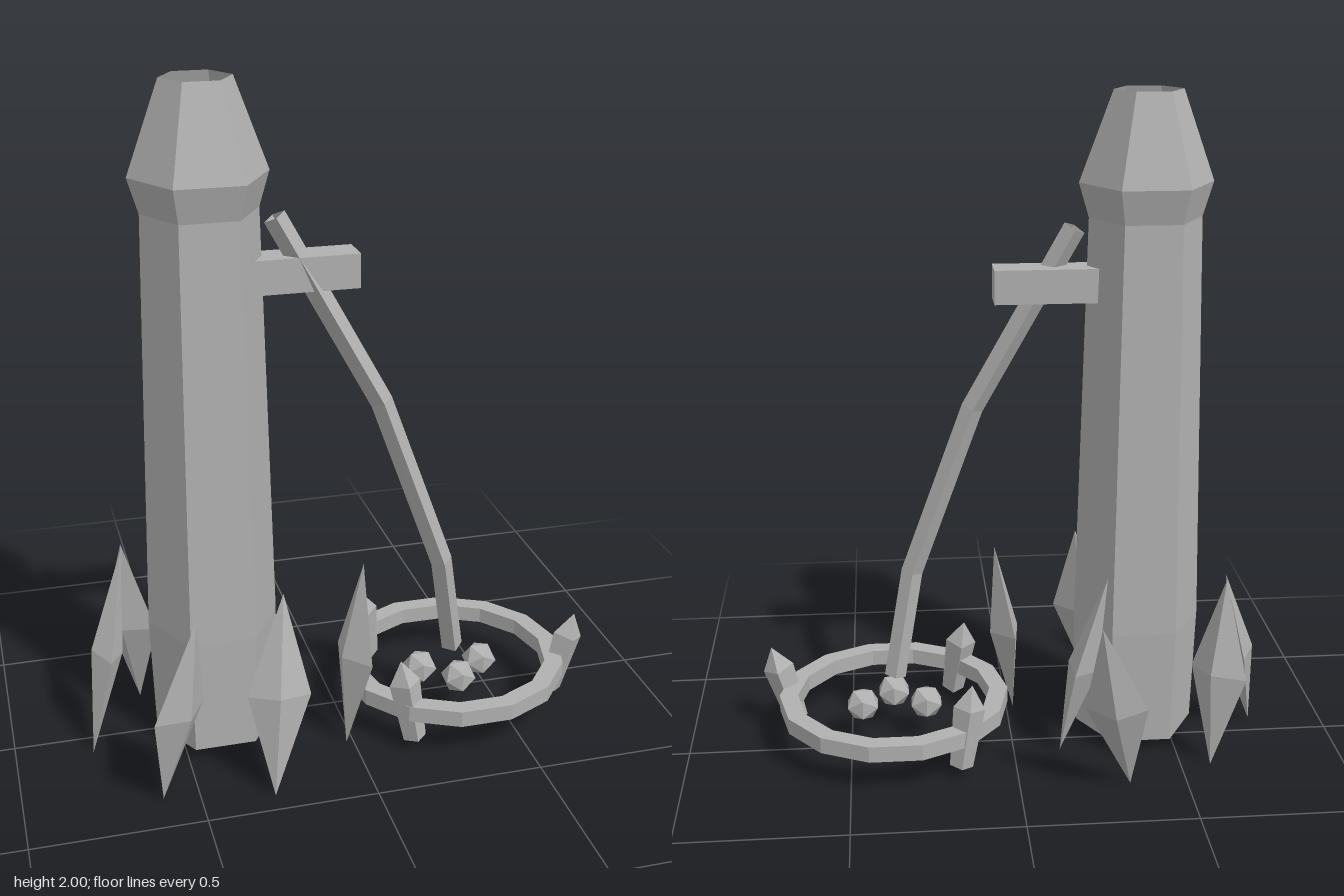
import * as THREE from 'three';

const V = (x, y, z) => new THREE.Vector3(x, y, z);
const UP = V(0, 1, 0);

export function createModel() {
  const model = new THREE.Group();
  const stone = new THREE.MeshStandardMaterial({ color: 0xb0b0b0, flatShading: true, side: THREE.DoubleSide });
  stone.name = 'grey stone';

  const add = (name, geometry, x = 0, y = 0, z = 0) => {
    const mesh = new THREE.Mesh(geometry, stone);
    mesh.name = name;
    mesh.position.set(x, y, z);
    model.add(mesh);
    return mesh;
  };
  const lathe = (profile, sides, start) =>
    new THREE.LatheGeometry(profile.map(([r, y]) => new THREE.Vector2(r, y)), sides, start);

  // Hollow six-sided tower, open at the top
  add('tower', lathe([[0, 0.04], [0.182, 0.04], [0.193, 0.4], [0.165, 1.64], [0.195, 1.74], [0.1, 2]], 6, Math.PI / 6),
    -0.39, 0, 0.05);

  // Beam sticking out of the tower
  add('beam', new THREE.BoxGeometry(0.49, 0.1, 0.1), -0.195, 1.45, 0.05);

  // Bent square cable hanging from the beam
  const bends = [V(-0.185, 1.61, 0.055), V(0.11, 1.06, 0.115), V(0.3, 0.53, 0.13), V(0.36, 0.2, 0.08)];
  const path = new THREE.Curve();
  path.getPointAt = (u) => bends[Math.round(u * 3)].clone();
  path.getTangentAt = (u) => {
    const i = Math.round(u * 3);
    return bends[Math.min(i + 1, 3)].clone().sub(bends[Math.max(i - 1, 0)]).normalize();
  };
  add('cable', new THREE.TubeGeometry(path, 3, 0.033, 4, false));

  // Flat ring near the ground
  add('ring', lathe([[0.298, 0.11], [0.355, 0.11], [0.355, 0.16], [0.298, 0.16], [0.298, 0.11]], 14, Math.PI / 2),
    0.365, 0, 0.05);

  // Pointed, tilted posts holding the ring: foot and tip
  const posts = [
    [V(0.675, 0.037, 0.14), V(0.745, 0.285, 0.135)],
    [V(0.17, 0.037, 0.305), V(0.133, 0.285, 0.27)],
    [V(0.17, 0.037, -0.21), V(0.133, 0.285, -0.175)],
  ];
  for (const [foot, tip] of posts) {
    const axis = tip.clone().sub(foot);
    const h = axis.length();
    const post = add('ringPost', lathe([[0, 0], [0.035, 0], [0.048, h * 0.72], [0, h]], 4, 0), ...foot.toArray());
    post.quaternion.setFromUnitVectors(UP, axis.normalize());
  }

  // Small gems inside the ring
  for (const [x, z] of [[0.265, 0.05], [0.463, 0.05], [0.365, 0.135]]) {
    add('gem', new THREE.IcosahedronGeometry(0.055, 0), x, 0.12, z);
  }

  // Leaning crystals round the tower: top x,z / bottom x,z / half-width x,z
  const crystals = [
    [-0.215, -0.445, -0.33, -0.288, 0.09, 0.015],
    [-0.28, -0.095, -0.143, -0.07, 0.035, -0.079],
    [-0.635, -0.128, -0.59, -0.2, 0.07, 0.063],
    [-0.638, -0.095, -0.772, 0.08, 0.003, 0.08],
    [-0.498, 0.4, -0.605, 0.365, 0.079, -0.054],
    [-0.23, 0.302, -0.29, 0.433, 0.09, 0.013],
    [0.04, 0.185, -0.022, 0.225, 0.03, 0.085],
  ];
  for (const [tx, tz, bx, bz, wx, wz] of crystals) {
    const long = V((tx - bx) / 2, 0.29, (tz - bz) / 2);
    const wide = V(wx, 0, wz);
    const thin = wide.clone().cross(long).normalize().multiplyScalar(0.048);
    const geometry = new THREE.OctahedronGeometry(1, 0);
    geometry.applyMatrix4(new THREE.Matrix4().makeBasis(wide, long, thin));
    add('crystal', geometry, (tx + bx) / 2, 0.29, (tz + bz) / 2);
  }

  return model;
}
